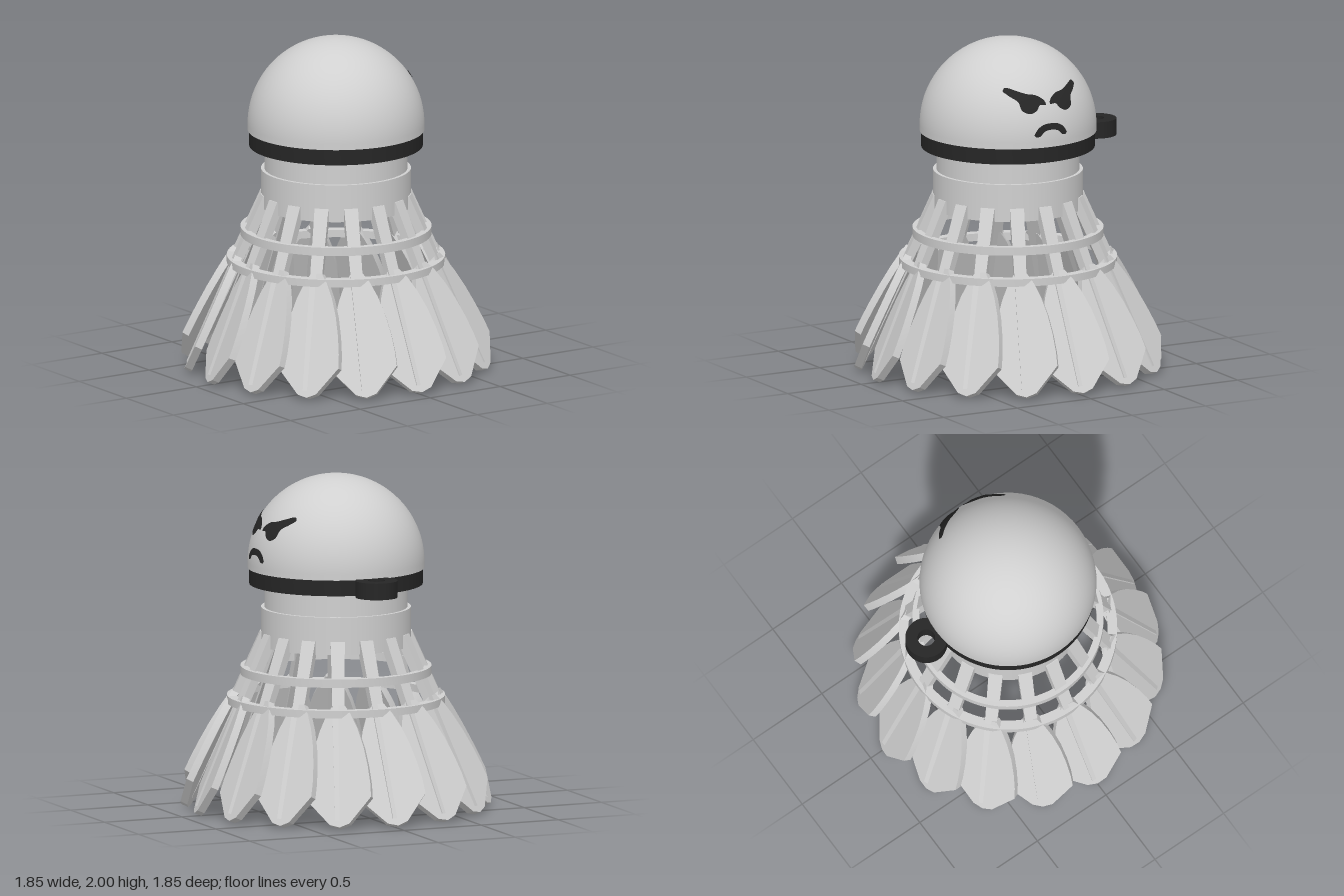
import * as THREE from 'three';
import { toCreasedNormals } from 'three/addons/utils/BufferGeometryUtils.js';

const grey = new THREE.MeshStandardMaterial({ color: 0xd0d0d0 });
grey.name = 'light grey';
const black = new THREE.MeshStandardMaterial({ color: 0x262626 });
black.name = 'soft black';

const DOME_R = 0.525, DOME_Y = 1.475;
const STICK_TOP = 1.06, STICK_R = 0.45, SLOPE = 0.45;
const FEATHERS = 16;

function add(parent, name, geometry, material, x = 0, y = 0, z = 0) {
  const mesh = new THREE.Mesh(geometry, material);
  mesh.name = name;
  mesh.position.set(x, y, z);
  parent.add(mesh);
  return mesh;
}

// Flat ring standing on y = 0 with a square section
function ring(outer, inner, height) {
  const shape = new THREE.Shape().absarc(0, 0, outer, 0, Math.PI * 2);
  shape.holes.push(new THREE.Path().absarc(0, 0, inner, 0, Math.PI * 2, true));
  const geo = new THREE.ExtrudeGeometry(shape, { depth: height, bevelEnabled: false, curveSegments: 64 });
  return toCreasedNormals(geo.rotateX(-Math.PI / 2), 0.6);
}

// Thin painted patch on the +x side of the dome, between an upper and a lower edge
function patch(upper, lower) {
  const curve = pts => new THREE.CatmullRomCurve3(pts.map(([u, y]) => new THREE.Vector3(u, y, 0)));
  const top = curve(upper), bottom = curve(lower);
  const geo = new THREE.PlaneGeometry(1, 1, 32, 8);
  const pos = geo.attributes.position, uv = geo.attributes.uv;
  for (let i = 0; i < pos.count; i++) {
    const p = bottom.getPoint(uv.getX(i)).lerp(top.getPoint(uv.getX(i)), uv.getY(i));
    const r = DOME_R + 0.005, dy = p.y - DOME_Y;
    pos.setXYZ(i, Math.sqrt(r * r - p.x * p.x - dy * dy), p.y, -p.x);
  }
  geo.computeVertexNormals();
  return geo;
}

const mirror = pts => pts.map(([u, y]) => [-u, y]).reverse();

// Upright quill, leaning outwards and tapering downwards
function stickGeometry() {
  const geo = new THREE.BoxGeometry(1, 1, 1);
  const pos = geo.attributes.position;
  for (let i = 0; i < pos.count; i++) {
    const low = pos.getY(i) < 0;
    const y = low ? 0.06 : STICK_TOP;
    const halfWidth = low ? 0.026 : 0.042;
    const depth = pos.getZ(i) > 0 ? 0 : low ? 0.045 : 0.06;
    pos.setXYZ(i, Math.sign(pos.getX(i)) * halfWidth, y, STICK_R + (STICK_TOP - y) * SLOPE - depth);
  }
  geo.computeVertexNormals();
  return geo;
}

// Leaf-shaped plate, measured along the quill from its top
function bladeGeometry() {
  const side = [[0.036, 0.39], [0.075, 0.45], [0.115, 0.54], [0.15, 0.65], [0.175, 0.77], [0.19, 0.88], [0.194, 0.965], [0.06, 1.12]];
  const outline = [...side, [0, 1.14], ...mirror(side)].map(([x, s]) => new THREE.Vector2(x, -s));
  const geo = new THREE.ExtrudeGeometry(new THREE.Shape(outline), { depth: 0.045, bevelEnabled: false });
  return toCreasedNormals(geo.translate(0, 0, -0.045), 0.4);
}

export function createModel() {
  const model = new THREE.Group();
  model.name = 'shuttlecock';

  // Rounded head
  add(model, 'dome', new THREE.SphereGeometry(DOME_R, 64, 32, 0, Math.PI * 2, 0, Math.PI / 2), grey, 0, DOME_Y);
  add(model, 'domeRim', new THREE.CylinderGeometry(DOME_R, DOME_R, 0.035, 64), grey, 0, 1.4575);

  // Band with a loop at the back
  add(model, 'band', ring(0.515, 0.47, 0.1), black, 0, 1.345);
  add(model, 'loop', ring(0.125, 0.052, 0.1), black, 0, 1.345, -0.595);

  // Neck and collar
  add(model, 'neck', new THREE.CylinderGeometry(0.425, 0.425, 0.25, 64), grey, 0, 1.32);
  add(model, 'collar', new THREE.CylinderGeometry(0.445, 0.445, 0.225, 64), grey, 0, 1.0925);

  // Rings tying the quills together
  add(model, 'upperRing', ring(0.567, 0.525, 0.05), grey, 0, 0.803);
  add(model, 'lowerRing', ring(0.648, 0.59, 0.045), grey, 0, 0.632);

  // Skirt of feathers, each blade twisted a little about its quill
  const stick = stickGeometry(), blade = bladeGeometry();
  for (let i = 0; i < FEATHERS; i++) {
    const feather = new THREE.Group();
    feather.name = 'feather';
    feather.rotation.y = (i / FEATHERS) * Math.PI * 2;
    add(feather, 'quill', stick, grey);
    add(feather, 'blade', blade, grey, 0, STICK_TOP, STICK_R).rotation.set(-Math.atan(SLOPE), -0.26, 0);
    model.add(feather);
  }

  // Frowning face on the left side
  const browTop = [[-0.242, 1.775], [-0.225, 1.792], [-0.17, 1.775], [-0.12, 1.757], [-0.07, 1.748], [-0.03, 1.725], [-0.014, 1.705]];
  const browLow = [[-0.242, 1.77], [-0.215, 1.745], [-0.178, 1.715], [-0.165, 1.665], [-0.12, 1.645], [-0.075, 1.665], [-0.055, 1.69], [-0.014, 1.69]];
  add(model, 'leftEye', patch(browTop, browLow), black);
  add(model, 'rightEye', patch(mirror(browTop), mirror(browLow)), black);
  const lipTop = [[-0.11, 1.52], [-0.088, 1.553], [-0.05, 1.577], [0, 1.583], [0.05, 1.577], [0.088, 1.553], [0.11, 1.52]];
  const lipLow = [[-0.1, 1.507], [-0.075, 1.51], [-0.045, 1.536], [0, 1.545], [0.045, 1.536], [0.075, 1.51], [0.1, 1.507]];
  add(model, 'mouth', patch(lipTop, lipLow), black);

  return model;
}
